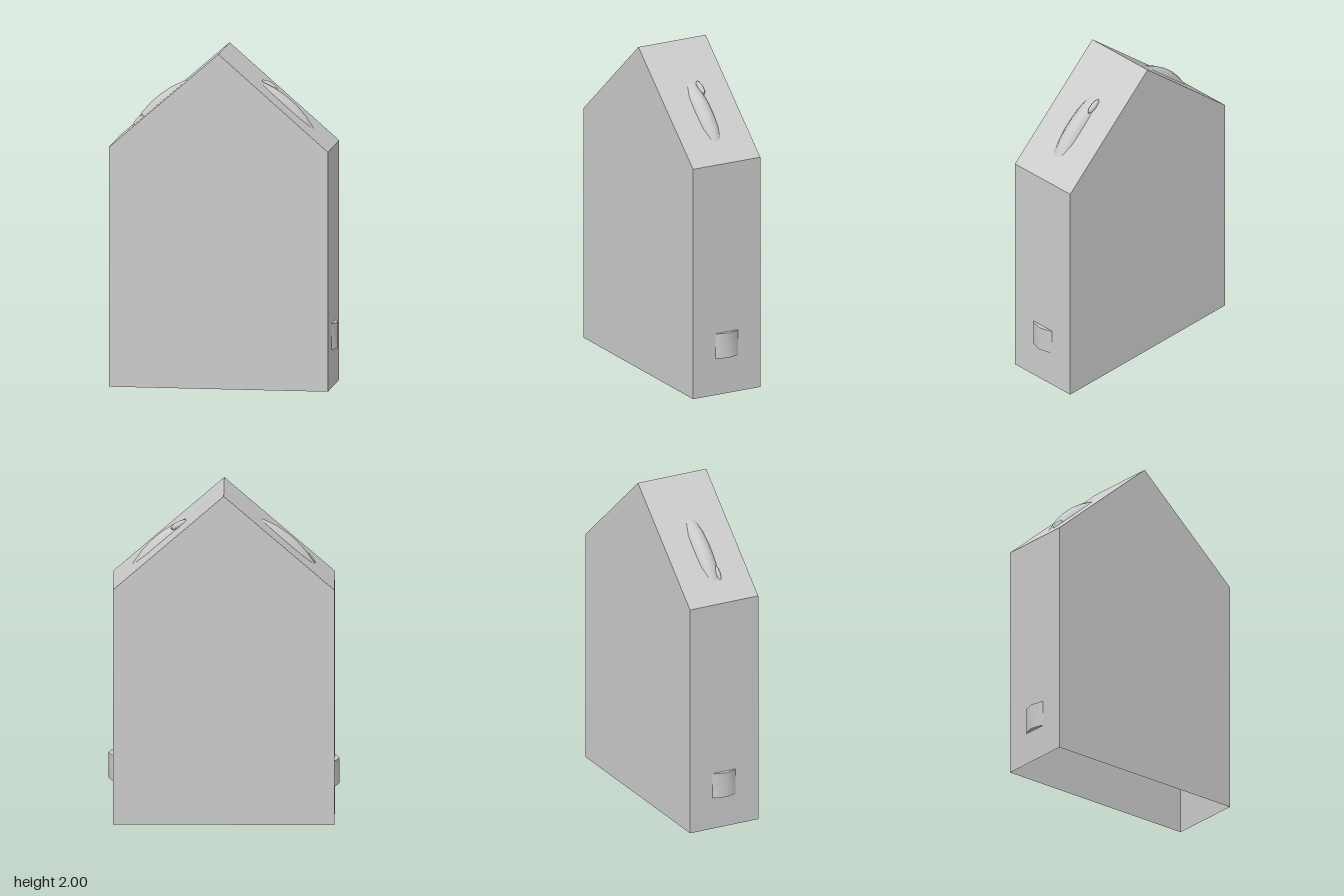
import * as THREE from 'three';
import { toCreasedNormals } from 'three/addons/utils/BufferGeometryUtils.js';

const HALF_W = 0.653, EAVE = 1.43, RIDGE = 2, HALF_D = 0.228;

const thin = new THREE.MeshStandardMaterial({ color: 0xcccccc, flatShading: true, side: THREE.DoubleSide });
const smooth = new THREE.MeshStandardMaterial({ color: 0xcccccc, side: THREE.DoubleSide });

function add(parent, name, geometry, material, x = 0, y = 0, z = 0) {
  const mesh = new THREE.Mesh(geometry, material);
  mesh.name = name;
  mesh.position.set(x, y, z);
  parent.add(mesh);
  return mesh;
}

// Side walls and roof: a strip along the gable outline, open underneath
function stripGeometry(outline) {
  const positions = [], index = [];
  outline.forEach(([x, y], i) => {
    positions.push(x, y, HALF_D, x, y, -HALF_D);
    if (i > 0) {
      const a = 2 * (i - 1);
      index.push(a, a + 2, a + 1, a + 1, a + 2, a + 3);
    }
  });
  const geometry = new THREE.BufferGeometry();
  geometry.setAttribute('position', new THREE.Float32BufferAttribute(positions, 3));
  geometry.setIndex(index);
  const flat = geometry.toNonIndexed();
  flat.computeVertexNormals();
  return flat;
}

export function createModel() {
  const model = new THREE.Group();
  model.name = 'gabledCase';

  // Hollow gabled shell; outline runs counter-clockwise from the +x foot
  const outline = [[HALF_W, 0], [HALF_W, EAVE], [0, RIDGE], [-HALF_W, EAVE], [-HALF_W, 0]];
  const shell = new THREE.Group();
  shell.name = 'shell';
  model.add(shell);
  add(shell, 'wallsAndRoof', stripGeometry(outline), thin);
  const gable = new THREE.ShapeGeometry(new THREE.Shape(outline.map(([x, y]) => new THREE.Vector2(x, y))));
  add(shell, 'frontWall', gable, thin, 0, 0, HALF_D);
  add(shell, 'backWall', gable, thin, 0, 0, -HALF_D).rotation.y = Math.PI;

  // Large ring inside, breaking through both roof slopes
  add(model, 'innerRing', new THREE.TorusGeometry(0.557, 0.058, 12, 48), smooth, 0, 1.235, 0);

  // Small bumps on the ring where it leaves the roof
  for (const [x, y, z, tilt] of [[-0.505, 1.555, 0.035, 0.9], [0.265, 1.78, -0.042, -0.5]]) {
    const bump = add(model, 'ringBump', new THREE.SphereGeometry(1, 8, 6), smooth, x, y, z);
    bump.scale.set(0.055, 0.02, 0.016);
    bump.rotation.z = tilt;
  }

  // Upright collars poking through the side walls, set at slightly different heights
  const section = [[0.09, 0], [0.135, 0], [0.135, 0.155], [0.09, 0.155], [0.09, 0]];
  const collar = toCreasedNormals(
    new THREE.LatheGeometry(section.map(([r, y]) => new THREE.Vector2(r, y)), 12), 0.7);
  add(model, 'leftCollar', collar, smooth, 0.545, 0.227, 0);
  add(model, 'rightCollar', collar, smooth, -0.545, 0.197, 0);

  return model;
}
